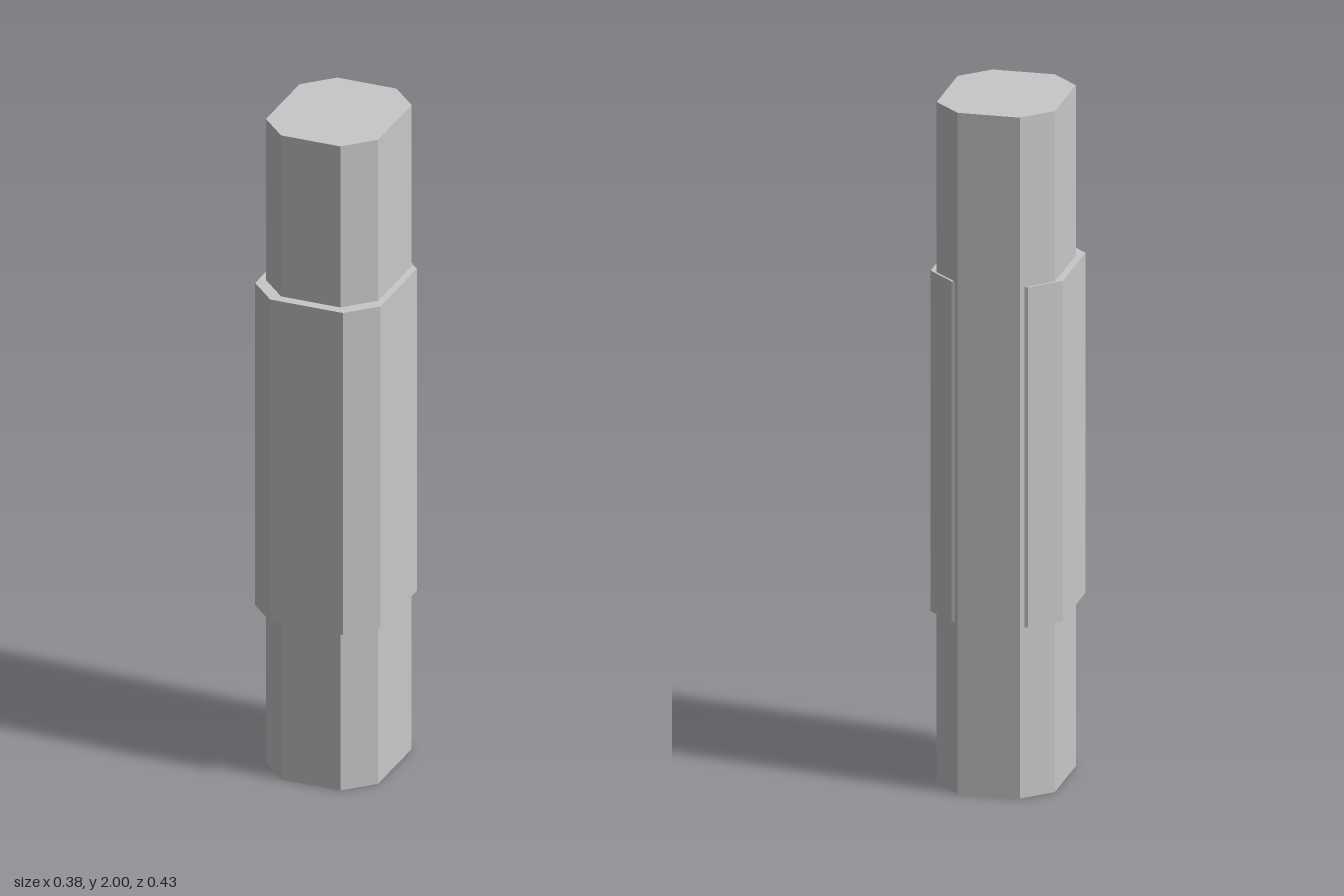
import * as THREE from 'three';

const grey = new THREE.MeshStandardMaterial({ color: 0xc8c8c8 });
grey.name = 'light grey';

// Upright prism with a chamfered rectangular section
function chamferedPrism(name, halfX, halfZ, chamfer, height, y, z) {
  const a = halfX - chamfer, b = halfZ - chamfer;
  const outline = [
    [halfX, -b], [halfX, b], [a, halfZ], [-a, halfZ],
    [-halfX, b], [-halfX, -b], [-a, -halfZ], [a, -halfZ],
  ];
  const shape = new THREE.Shape(outline.map(([px, py]) => new THREE.Vector2(px, py)));
  const geometry = new THREE.ExtrudeGeometry(shape, { depth: height, bevelEnabled: false });
  geometry.rotateX(-Math.PI / 2);
  const mesh = new THREE.Mesh(geometry, grey);
  mesh.name = name;
  mesh.position.set(0, y, z);
  return mesh;
}

export function createModel() {
  const model = new THREE.Group();
  model.name = 'sleevedPost';
  // Full-height core, set slightly back so it pokes through the sleeve
  model.add(chamferedPrism('core', 0.17, 0.2, 0.08, 2, 0, -0.016));
  // Wider sleeve around the middle half, set slightly forward
  model.add(chamferedPrism('sleeve', 0.19, 0.21, 0.08, 1, 0.5, 0.004));
  return model;
}
